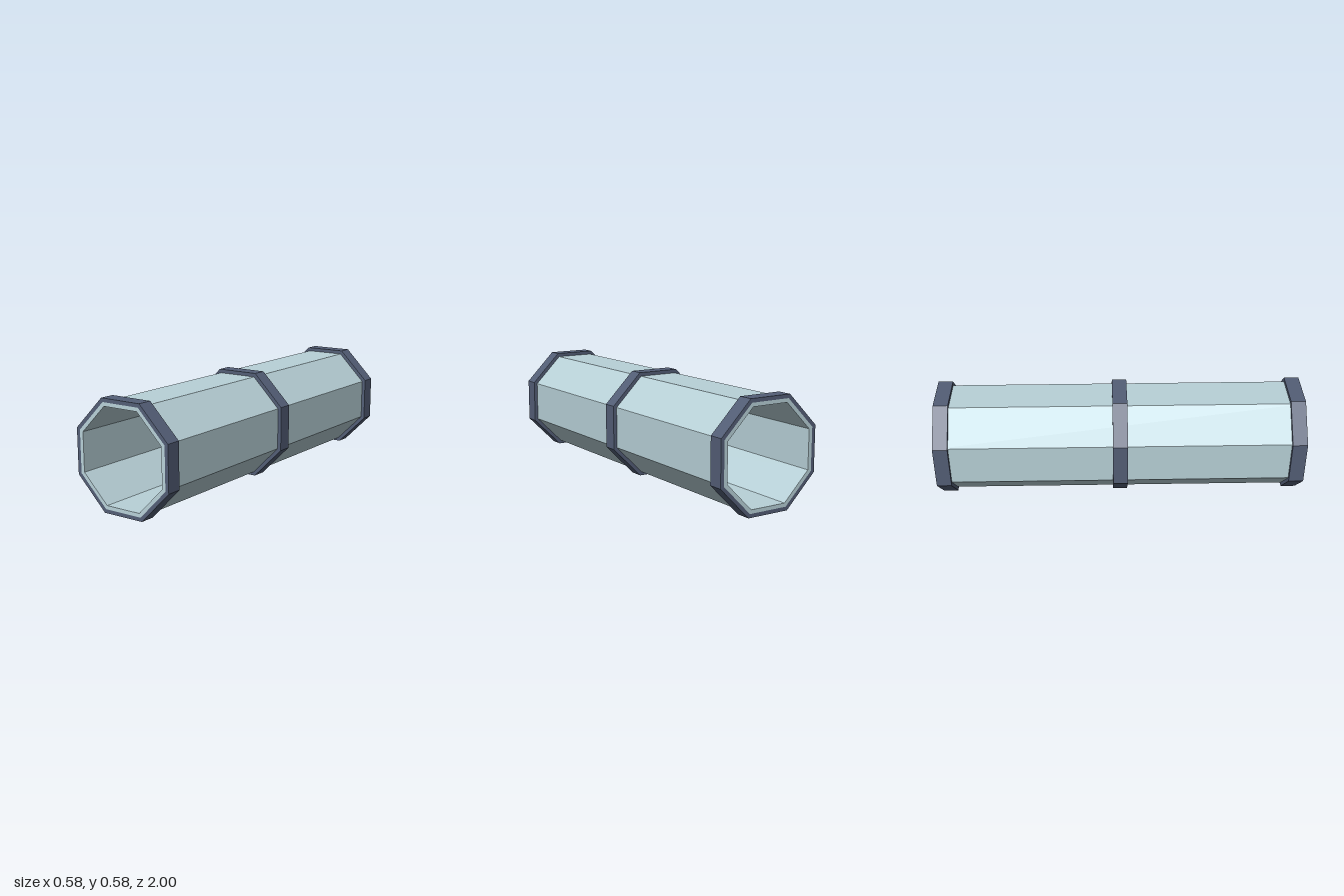
import * as THREE from 'three';

const HEIGHT = 0.58; // overall height across the flats of the bands

// Corners of a regular octagon with flat top and sides, given its apothem
function octagon(apothem) {
  const radius = apothem / Math.cos(Math.PI / 8);
  return Array.from({ length: 8 }, (_, i) => {
    const a = Math.PI / 8 + (i * Math.PI) / 4;
    return new THREE.Vector2(radius * Math.cos(a), radius * Math.sin(a));
  });
}

// Hollow octagonal prism along z, centred at the given z
function octagonalRing(name, outer, inner, length, z, material) {
  const shape = new THREE.Shape(octagon(outer));
  shape.holes.push(new THREE.Path(octagon(inner)));
  const geometry = new THREE.ExtrudeGeometry(shape, { depth: length, bevelEnabled: false });
  geometry.translate(0, 0, -length / 2);
  const mesh = new THREE.Mesh(geometry, material);
  mesh.name = name;
  mesh.position.set(0, HEIGHT / 2, z);
  return mesh;
}

export function createModel() {
  const paleBlue = new THREE.MeshStandardMaterial({ color: 0xb8d1d8 });
  paleBlue.name = 'pale blue';
  const slate = new THREE.MeshStandardMaterial({ color: 0x535e76 });
  slate.name = 'slate';

  const group = new THREE.Group();
  group.name = 'octagonalTunnel';

  // Tunnel wall, open at both ends
  group.add(octagonalRing('tunnelWall', 0.27, 0.25, 2, 0, paleBlue));

  // Raised bands at the ends and the middle
  const bands = { frontBand: 0.96, middleBand: 0, backBand: -0.96 };
  for (const [name, z] of Object.entries(bands)) {
    group.add(octagonalRing(name, 0.29, 0.27, 0.08, z, slate));
  }
  return group;
}
